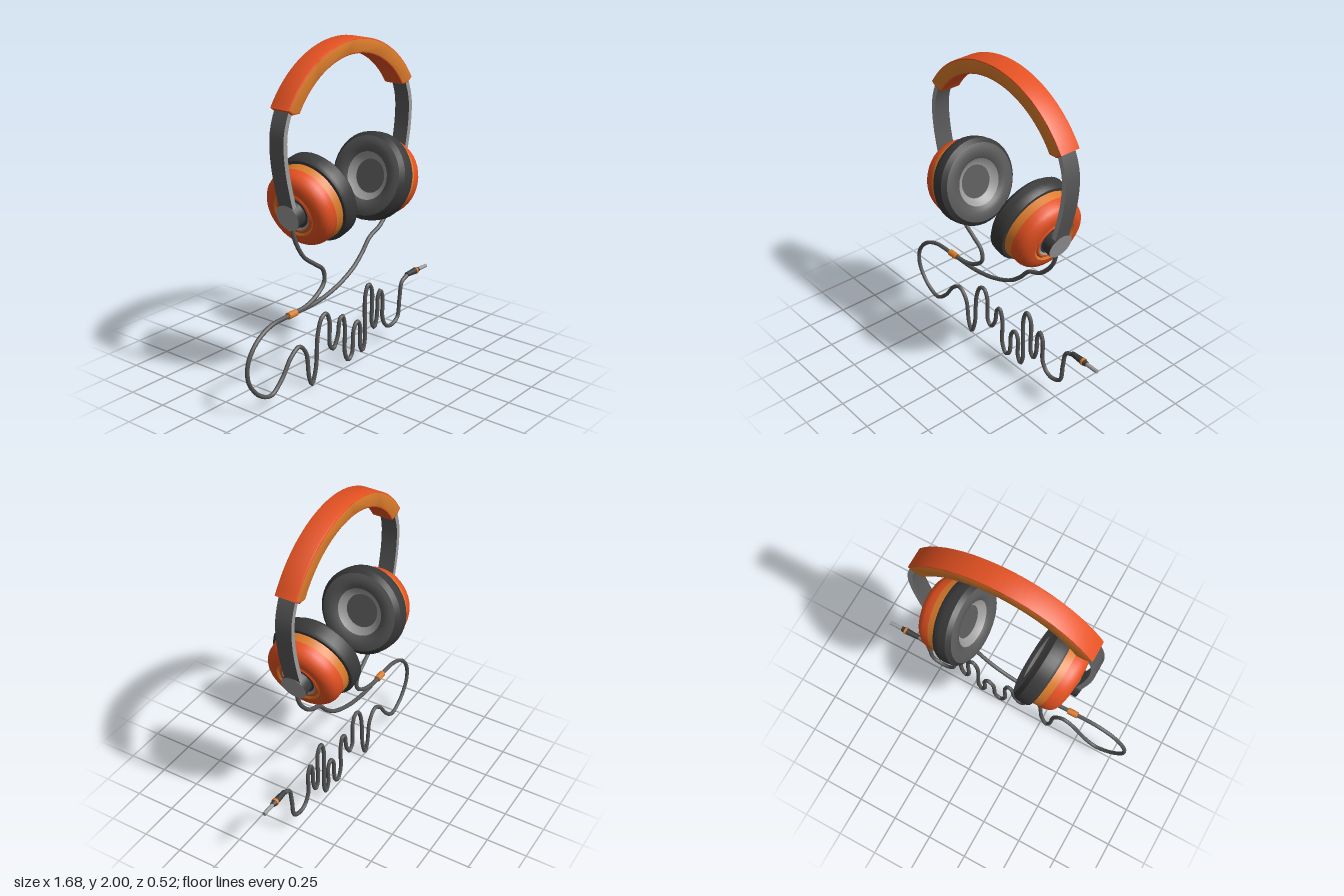
import * as THREE from 'three';
import { toCreasedNormals } from 'three/addons/utils/BufferGeometryUtils.js';

const mat = (name, color) => {
  const m = new THREE.MeshStandardMaterial({ color });
  m.name = name;
  return m;
};

export function createModel() {
  const red = mat('redOrange', 0xe65222);
  const orange = mat('orange', 0xdc7d2b);
  const light = mat('lightGrey', 0x9c9c9c);
  const grey = mat('darkGrey', 0x585858);
  const black = mat('charcoal', 0x3a3a3a);

  const root = new THREE.Group();
  root.name = 'headphones';
  const add = (parent, name, geo, material) => {
    const m = new THREE.Mesh(geo, material);
    m.name = name;
    parent.add(m);
    return m;
  };
  const v2 = (a) => a.map(([x, y]) => new THREE.Vector2(x, y));
  const lathe = (pts, crease = 0.6) =>
    toCreasedNormals(new THREE.LatheGeometry(v2(pts), 40), crease);

  const headset = new THREE.Group();
  headset.name = 'headset';
  headset.position.x = 0.011;
  root.add(headset);

  // Padded headband: area between two arcs, orange faces with a red rim
  const arc = (cy, r, endAngle, n = 32) =>
    Array.from({ length: n + 1 }, (_, i) => {
      const a = endAngle * (1 - (2 * i) / n);
      return [r * Math.sin(a), cy + r * Math.cos(a)];
    });
  const bev = 0.008;
  const outer = arc(1.355, 0.645 - bev, 1.0);
  const inner = arc(1.373, 0.54 + bev, 0.99).reverse();
  const bandShape = new THREE.Shape(v2([...outer, [-0.505, 1.675], ...inner, [0.505, 1.675]]));
  const bandGeo = new THREE.ExtrudeGeometry(bandShape, {
    depth: 0.132 - 2 * bev, bevelEnabled: true, bevelSize: bev, bevelThickness: bev, bevelSegments: 2,
  });
  bandGeo.translate(0, 0, -0.066 + bev);
  add(headset, 'headband', toCreasedNormals(bandGeo, 0.5), [orange, red]);

  // Flat steel arm: a curve thickened in the plane, then extruded
  const armCurve = new THREE.CatmullRomCurve3(
    [[0.475, 1.75], [0.517, 1.675], [0.55, 1.58], [0.557, 1.5], [0.548, 1.39], [0.525, 1.275], [0.483, 1.12]]
      .map(([x, y]) => new THREE.Vector3(x, y, 0)));
  const side1 = [], side2 = [];
  for (let i = 0; i <= 24; i++) {
    const p = armCurve.getPoint(i / 24), t = armCurve.getTangent(i / 24);
    side1.push([p.x - t.y * 0.015, p.y + t.x * 0.015]);
    side2.unshift([p.x + t.y * 0.015, p.y - t.x * 0.015]);
  }
  const armGeo = toCreasedNormals(
    new THREE.ExtrudeGeometry(new THREE.Shape(v2([...side1, ...side2])), { depth: 0.1, bevelEnabled: false })
      .translate(0, 0, -0.05), 0.5);

  // Ear cup rings, listed as [radius, distance along the outward axis]
  const cupParts = [
    ['speakerGrille', grey, [[0, -0.02], [0.1, -0.02]]],
    ['speakerRim', light, [[0.1, -0.02], [0.108, -0.022], [0.142, -0.052]]],
    ['cushionFace', grey, [[0.142, -0.052], [0.16, -0.064], [0.185, -0.069], [0.21, -0.069], [0.235, -0.062]]],
    ['cushionSide', black, [[0.235, -0.062], [0.26, -0.038], [0.262, 0], [0.26, 0.034], [0.25, 0.05], [0.215, 0.055]]],
    ['cupRing', orange, [[0.2, 0.05], [0.234, 0.05], [0.228, 0.1]]],
    ['cupShell', red, [[0.228, 0.1], [0.226, 0.135], [0.217, 0.16], [0.202, 0.178], [0.18, 0.19], [0.16, 0.195], [0.138, 0.196]]],
    ['shellStripe', orange, [[0.138, 0.196], [0.124, 0.188]]],
    ['shellInnerRing', red, [[0.124, 0.188], [0.115, 0.194], [0.105, 0.192]]],
    ['hubRing', light, [[0.105, 0.192], [0.092, 0.184]]],
    ['hubBase', black, [[0.092, 0.184], [0, 0.184]]],
  ].map(([name, m, pts]) => [name, m, lathe(pts)]);
  const hubGeo = new THREE.CylinderGeometry(0.079, 0.079, 0.075, 32).translate(0, 0.2075, 0);

  for (const [label, turn] of [['left', 0], ['right', Math.PI]]) {
    const side = new THREE.Group();
    side.name = label + 'Side';
    side.rotation.y = turn;
    headset.add(side);
    add(side, label + 'Arm', armGeo, [light, grey]);
    const cup = new THREE.Group();
    cup.name = label + 'EarCup';
    cup.position.set(0.257, 1.146, 0);
    cup.rotation.z = THREE.MathUtils.degToRad(-105);
    side.add(cup);
    for (const [name, m, geo] of cupParts) add(cup, name, geo, m);
    add(cup, 'hub', hubGeo, [black, light, black]);
  }

  // Cables, given as x, y in hundredths of a unit
  const cable = (name, pts, segments) => {
    const curve = new THREE.CatmullRomCurve3(
      pts.map(([x, y]) => new THREE.Vector3(x / 100, y / 100, 0)), false, 'centripetal');
    add(root, name, new THREE.TubeGeometry(curve, segments, 0.0125, 8), grey);
  };
  cable('rightCable', [[-45, 104], [-44, 99], [-41.5, 92], [-35, 82], [-25.7, 75], [-18.5, 69.5], [-17.5, 62],
    [-23.5, 56], [-33, 52], [-46, 51]], 70);
  cable('leftCable', [[47.5, 104], [46.8, 99], [44, 92], [35, 82], [24.6, 77], [17.7, 69.5], [8.7, 62],
    [-7, 55], [-25, 51.3], [-46, 51]], 70);
  cable('mainCable', [[-46, 51], [-63, 50], [-75, 44], [-82, 34], [-82, 23], [-74, 12], [-64, 8], [-55, 14.5],
    [-47, 25], [-40, 29], [-34, 23], [-31.5, 7], [-29, 1.4], [-25.5, 10], [-23.5, 31], [-20, 40], [-16, 41.5],
    [-13, 36], [-12.5, 20], [-9.5, 17], [-5.5, 23], [-3.5, 33], [-1, 35], [1.3, 28], [1.5, 10], [4.5, 4.5],
    [8, 7], [10, 23], [13.5, 26.5], [16, 22], [16, 10], [18.3, 5.5], [20.4, 10], [21, 41], [24, 47], [27.2, 43],
    [27.8, 20], [30, 17], [32.5, 23], [33.6, 36], [35.7, 39.5], [38, 34.7], [38.4, 20], [42, 14], [47, 12.5],
    [53.7, 15.6], [55.8, 28], [58, 38], [64, 41]], 360);

  // Splitter and plug: turned parts lying along x
  const rod = (name, m, x0, x1, r0, r1, y) => {
    const g = new THREE.CylinderGeometry(r1, r0, x1 - x0, 16).rotateZ(-Math.PI / 2);
    add(root, name, g, m).position.set((x0 + x1) / 2, y, 0);
  };
  rod('splitter', orange, -0.49, -0.425, 0.02, 0.02, 0.51);
  rod('plugSleeve', black, 0.63, 0.715, 0.015, 0.02, 0.412);
  rod('plugStripe', orange, 0.715, 0.73, 0.022, 0.022, 0.412);
  rod('plugCollar', black, 0.73, 0.752, 0.019, 0.015, 0.412);
  rod('plugTip', light, 0.752, 0.835, 0.012, 0.012, 0.412);

  return root;
}
